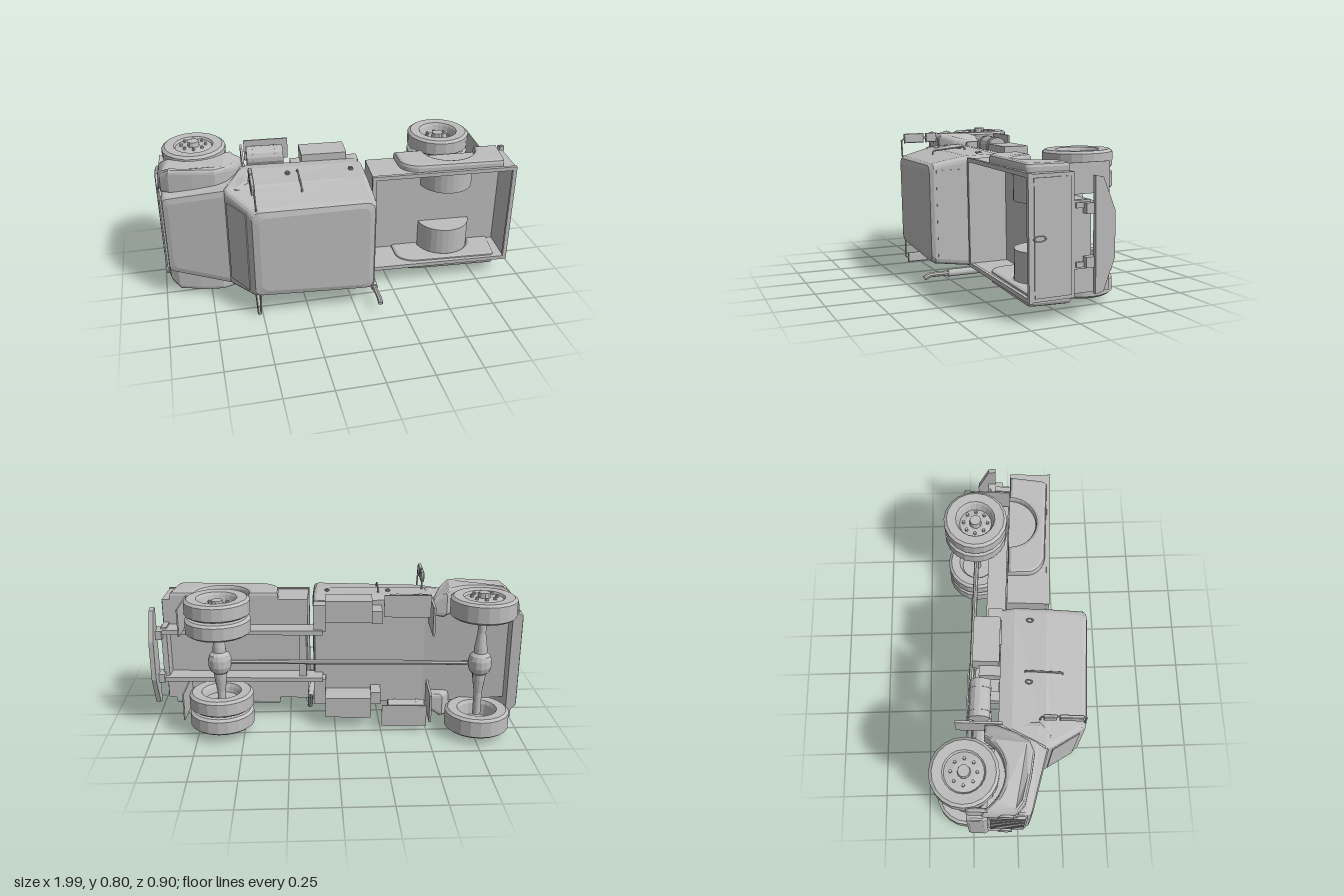
import * as THREE from 'three';

const paint = new THREE.MeshStandardMaterial({ color: 0xbdbdbd, flatShading: true, side: THREE.DoubleSide });
paint.name = 'plain grey';

export function createModel() {
  const truck = new THREE.Group();
  truck.name = 'pickupTruck';
  const V = (x, y, z) => new THREE.Vector3(x, y, z);

  const add = (name, geo, x = 0, y = 0, z = 0) => {
    const m = new THREE.Mesh(geo, paint);
    m.name = name;
    m.position.set(x, y, z);
    truck.add(m);
    return m;
  };
  // Box from its limits
  const box = (name, x0, x1, y0, y1, z0, z1) =>
    add(name, new THREE.BoxGeometry(x1 - x0, y1 - y0, Math.abs(z1 - z0)), (x0 + x1) / 2, (y0 + y1) / 2, (z0 + z1) / 2);
  const pair = (name, x0, x1, y0, y1, z0, z1) => {
    for (const s of [-1, 1]) box(name, x0, x1, y0, y1, s * z0, s * z1);
  };
  const tube = (name, pts, r, n = 8) =>
    add(name, new THREE.TubeGeometry(new THREE.CatmullRomCurve3(pts, false, 'catmullrom', 0.1), 16, r, n));

  // Stacked rounded trapezoids: [height front, height rear, x0, x1, half width front, rear, corner radius]
  function stack(name, layers) {
    const pos = [], idx = [], n = 16;
    for (const [v0, v1, x0, x1, wf, wr, r] of layers) {
      for (let i = 0; i < n; i++) {
        const q = Math.floor(i / 4), a = (q + (i % 4) / 3) * Math.PI / 2;
        const front = q === 1 || q === 2, sz = q < 2 ? 1 : -1;
        const x = (front ? x0 + r : x1 - r) + r * Math.cos(a);
        const z = sz * ((front ? wf : wr) - r) + r * Math.sin(a);
        pos.push(x, v0 + (v1 - v0) * (x - x0) / (x1 - x0), z);
      }
    }
    for (let k = 0; k < layers.length - 1; k++) for (let i = 0; i < n; i++) {
      const a = k * n + i, b = k * n + (i + 1) % n;
      idx.push(a, a + n, b, b, a + n, b + n);
    }
    const t = (layers.length - 1) * n;
    for (let i = 1; i < n - 1; i++) idx.push(0, i, i + 1, t, t + i + 1, t + i);
    const g = new THREE.BufferGeometry();
    g.setAttribute('position', new THREE.Float32BufferAttribute(pos, 3));
    g.setIndex(idx);
    g.computeVertexNormals();
    return add(name, g);
  }

  // Cab and hood
  stack('cab', [
    [-0.07, -0.07, -0.53, 0.105, 0.3, 0.295, 0.02], [0.0, 0.0, -0.56, 0.115, 0.312, 0.305, 0.02],
    [0.17, 0.17, -0.645, 0.12, 0.3, 0.302, 0.03], [0.2, 0.2, -0.635, 0.12, 0.288, 0.298, 0.03],
    [0.355, 0.365, -0.535, 0.125, 0.262, 0.272, 0.03], [0.378, 0.385, -0.515, 0.115, 0.25, 0.26, 0.04],
    [0.387, 0.392, -0.48, 0.09, 0.22, 0.235, 0.04]]);
  stack('hood', [
    [-0.12, -0.07, -0.968, -0.5, 0.25, 0.3, 0.03], [0.075, 0.14, -0.968, -0.5, 0.24, 0.312, 0.03],
    [0.105, 0.2, -0.962, -0.55, 0.225, 0.295, 0.03], [0.118, 0.208, -0.935, -0.55, 0.2, 0.265, 0.03]]);
  const glass = add('windshield', new THREE.BoxGeometry(0.006, 0.165, 0.46), -0.587, 0.278, 0);
  glass.rotation.z = -0.57;
  box('rearWindow', 0.117, 0.126, 0.215, 0.35, -0.235, 0.235);

  // Front fenders: arched plates that round in at the nose and narrow to the door
  const fender = new THREE.Shape();
  fender.moveTo(-0.985, -0.14);
  for (const [x, y] of [[-0.985, -0.02], [-0.965, 0.04], [-0.92, 0.075], [-0.8, 0.1], [-0.68, 0.115],
    [-0.62, 0.09], [-0.57, 0.02], [-0.53, -0.08], [-0.53, -0.14], [-0.605, -0.14]]) fender.lineTo(x, y);
  fender.absarc(-0.783, -0.23, 0.2, 0.47, Math.PI - 0.47, false);
  for (const s of [-1, 1]) {
    const g = new THREE.ExtrudeGeometry(fender, { depth: 0.1, steps: 1, bevelSize: 0.02, bevelThickness: 0.025, bevelOffset: -0.02, bevelSegments: 3, curveSegments: 12 });
    const p = g.attributes.position;
    for (let i = 0; i < p.count; i++) {
      const x = p.getX(i), out = p.getZ(i);
      const trim = 11 * Math.max(0, -0.9 - x) ** 2 + Math.max(0, x + 0.62) * 0.6;
      p.setZ(i, s * (0.25 + out - (out > 0.05 ? trim : 0)));
    }
    g.computeVertexNormals();
    add('frontFender', g);
    const lamp = add('headlight', new THREE.CylinderGeometry(0.04, 0.04, 0.012, 16), -0.982, -0.02, s * 0.27);
    lamp.rotation.z = Math.PI / 2;
  }

  // Grille and front bumper
  box('grillePanel', -0.975, -0.95, -0.11, 0.09, -0.21, 0.21);
  for (let i = 0; i < 17; i++) {
    const z = -0.2 + i * 0.025;
    box('grilleSlat', -0.983, -0.97, -0.1, 0.08, z - 0.006, z + 0.006);
  }
  stack('frontBumper', [[-0.215, -0.215, -0.998, -0.945, 0.27, 0.325, 0.025],
    [-0.2, -0.2, -1.003, -0.945, 0.275, 0.335, 0.025], [-0.13, -0.13, -1.003, -0.945, 0.275, 0.335, 0.025],
    [-0.11, -0.11, -0.993, -0.945, 0.27, 0.33, 0.025]]);

  // Open cargo bed
  const rect = (P, x0, x1, w) => {
    const s = new P();
    s.moveTo(x0, -w); s.lineTo(x1, -w); s.lineTo(x1, w); s.lineTo(x0, w); s.closePath();
    return s;
  };
  const frameRing = (name, x0, x1, w, t, y, h) => {
    const s = rect(THREE.Shape, x0, x1, w);
    s.holes.push(rect(THREE.Path, x0 + t, x1 - t, w - t));
    const g = new THREE.ExtrudeGeometry(s, { depth: h, bevelEnabled: false });
    g.rotateX(-Math.PI / 2);
    add(name, g, 0, y, 0);
  };
  frameRing('bedWalls', 0.145, 0.942, 0.292, 0.014, -0.045, 0.212);
  frameRing('bedRim', 0.142, 0.945, 0.297, 0.022, 0.165, 0.018);
  box('bedFloor', 0.15, 0.935, -0.045, -0.03, -0.285, 0.285);
  box('tailgate', 0.94, 0.947, -0.03, 0.155, -0.275, 0.275);
  const grip = add('tailgateHandle', new THREE.TorusGeometry(0.03, 0.005, 6, 8), 0.95, 0.13, 0);
  grip.rotation.y = Math.PI / 2;
  grip.scale.x = 0.45;

  // Rear fenders and the wheel housings inside the bed
  const rear = new THREE.Shape();
  rear.moveTo(0.305, -0.045);
  rear.lineTo(0.31, 0.07);
  rear.quadraticCurveTo(0.32, 0.13, 0.4, 0.155);
  rear.lineTo(0.86, 0.162);
  rear.quadraticCurveTo(0.88, 0.16, 0.885, 0.12);
  rear.lineTo(0.9, -0.045);
  rear.lineTo(0.765, -0.045);
  rear.absarc(0.615, -0.045, 0.15, 0, Math.PI, false);
  const rearGeo = new THREE.ExtrudeGeometry(rear, { depth: 0.03, bevelSize: 0.018, bevelThickness: 0.018, bevelOffset: -0.018, bevelSegments: 2, curveSegments: 8 });
  for (const s of [-1, 1]) {
    add('rearFender', rearGeo, 0, 0, s * 0.3 - 0.015);
    const h = new THREE.CylinderGeometry(0.15, 0.15, 0.165, 14, 1, true, -Math.PI / 2, Math.PI);
    h.rotateX(-Math.PI / 2);
    add('wheelHousing', h, 0.615, -0.045, s * 0.2025);
    add('housingSide', new THREE.CircleGeometry(0.15, 14, 0, Math.PI), 0.615, -0.045, s * 0.12);
  }

  // Chassis, mud flaps and rear bumper
  pair('frameRail', 0.06, 0.95, -0.155, -0.05, 0.125, 0.15);
  box('frontCrossMember', 0.15, 0.19, -0.13, -0.07, -0.13, 0.13);
  box('rearCrossMember', 0.91, 0.94, -0.13, -0.045, -0.16, 0.16);
  pair('frontMudFlap', -0.53, -0.518, -0.29, -0.05, 0.17, 0.325);
  pair('rearMudFlap', 0.805, 0.812, -0.3, -0.045, 0.165, 0.315);
  const bumper = new THREE.Shape();
  [[-0.275, -0.13], [0.275, -0.13], [0.265, -0.17], [0.11, -0.23], [-0.11, -0.23], [-0.265, -0.17]]
    .forEach(([x, y], i) => (i ? bumper.lineTo(x, y) : bumper.moveTo(x, y)));
  const bumperGeo = new THREE.ExtrudeGeometry(bumper, { depth: 0.025, bevelEnabled: false });
  bumperGeo.rotateY(Math.PI / 2);
  add('rearBumper', bumperGeo, 0.962, 0, 0);
  pair('bumperBracket', 0.93, 0.975, -0.17, -0.09, 0.1, 0.15);

  // Tool boxes, and air tanks lying on trays
  pair('toolBox', -0.205, 0.045, -0.215, -0.075, 0.22, 0.335);
  pair('toolBoxBracket', -0.26, -0.205, -0.18, -0.06, 0.2, 0.27);
  pair('tankTray', -0.51, -0.265, -0.232, -0.224, 0.255, 0.375);
  pair('rearSill', 0.045, 0.11, -0.14, -0.06, 0.14, 0.29);
  for (const s of [-1, 1]) {
    const tank = add('airTank', new THREE.CylinderGeometry(0.056, 0.056, 0.2, 14), -0.4, -0.168, s * 0.305);
    tank.rotation.z = Math.PI / 2;
    for (const x of [-0.46, -0.34]) {
      const band = add('tankBand', new THREE.CylinderGeometry(0.059, 0.059, 0.012, 14), x, -0.168, s * 0.305);
      band.rotation.z = Math.PI / 2;
    }
  }

  // Mirrors, grab rails and door handles
  for (const s of [-1, 1]) {
    for (const [y, h] of [[0.295, 0.12], [0.188, 0.066]]) {
      const plate = rect(THREE.Shape, -h / 2 + 0.01, h / 2 - 0.01, 0.018);
      const g = new THREE.ExtrudeGeometry(plate, { depth: 0.012, bevelSize: 0.01, bevelThickness: 0.005, bevelSegments: 2 });
      g.rotateZ(Math.PI / 2);
      g.rotateY(Math.PI / 2);
      add('mirror', g, -0.506, y, s * 0.365);
    }
    tube('mirrorArm', [V(-0.49, 0.37, s * 0.255), V(-0.495, 0.372, s * 0.36), V(-0.495, 0.36, s * 0.365),
      V(-0.495, 0.15, s * 0.365), V(-0.495, 0.14, s * 0.3)], 0.005, 6);
    tube('grabRail', [V(-0.245, 0.06, s * 0.3), V(-0.245, 0.065, s * 0.322), V(-0.245, 0.25, s * 0.306), V(-0.245, 0.255, s * 0.285)], 0.005, 6);
    for (const x of [-0.3, 0.04]) {
      const k = add('doorHandle', new THREE.TorusGeometry(0.016, 0.005, 6, 8), x, 0.08, s * 0.312);
      k.scale.x = 0.7;
    }
  }

  // Exhaust stack behind the cab, on one side
  tube('exhaustLower', [V(0.13, -0.12, 0.25), V(0.135, -0.08, 0.325), V(0.135, 0.0, 0.33)], 0.014);
  add('exhaustMuffler', new THREE.CylinderGeometry(0.02, 0.02, 0.31, 12), 0.14, 0.15, 0.322);
  tube('exhaustTip', [V(0.14, 0.3, 0.322), V(0.145, 0.405, 0.32), V(0.147, 0.44, 0.335)], 0.014);

  // Wheels: faceted square-shouldered tyre, dished rim, hub and ring of bolts
  function wheel(x, z, s, w, dish, hub) {
    const h = w / 2, d = h - dish;
    const prof = [[0, d], [0.055, d], [0.088, d - 0.006], [0.1, h - 0.014], [0.108, h - 0.002], [0.158, h], [0.174, h - 0.012],
      [0.174, -h + 0.012], [0.158, -h], [0.108, -h + 0.002], [0.098, -h + 0.02], [0.09, d - 0.02], [0, d - 0.02]];
    const g = new THREE.LatheGeometry(prof.map(([r, y]) => new THREE.Vector2(r, y)), 20);
    g.rotateX(s * Math.PI / 2);
    const m = add('wheel', g, x, -0.23, s * z);
    if (!hub) return;
    const part = (name, r, l, px, py, n) => {
      const c = new THREE.CylinderGeometry(r * 0.9, r, l, n);
      c.rotateX(s * Math.PI / 2);
      const k = new THREE.Mesh(c, paint);
      k.name = name;
      k.position.set(px, py, s * (d + l / 2));
      m.add(k);
    };
    part('hub', 0.034, hub, 0, 0, 10);
    for (let i = 0; i < 8; i++) {
      const a = i * Math.PI / 4;
      part('wheelBolt', 0.009, hub * 0.5, 0.066 * Math.cos(a), 0.066 * Math.sin(a), 6);
    }
  }
  for (const s of [-1, 1]) {
    wheel(-0.783, 0.318, s, 0.11, 0.006, 0.026);
    wheel(0.61, 0.315, s, 0.092, 0.05, 0.035);
    wheel(0.61, 0.212, s, 0.09, 0.02, 0);
  }

  // Axles with swollen differentials, and the drive shaft
  const axleHalf = [[0.022, 0.3], [0.022, 0.17], [0.034, 0.09], [0.036, 0.06], [0.054, 0.045], [0.062, 0.02]];
  const axleProf = [...axleHalf, ...axleHalf.slice().reverse().map(([r, y]) => [r, -y])];
  const axle = new THREE.LatheGeometry(axleProf.map(([r, y]) => new THREE.Vector2(r, y)), 14);
  axle.rotateX(Math.PI / 2);
  for (const x of [-0.783, 0.61]) add('axle', axle, x, -0.23, 0);
  tube('driveShaft', [V(-0.76, -0.228, 0), V(0.58, -0.228, 0)], 0.014);

  // Laid on its side, with a slight pitch and roll
  truck.rotation.set(Math.PI / 2 + 0.02, 0, 0.05);
  const model = new THREE.Group();
  model.name = 'model';
  model.add(truck);
  model.updateMatrixWorld(true);
  const b = new THREE.Box3().setFromObject(model, true), c = b.getCenter(V(0, 0, 0));
  truck.position.set(-c.x, -b.min.y, -c.z);
  return model;
}
